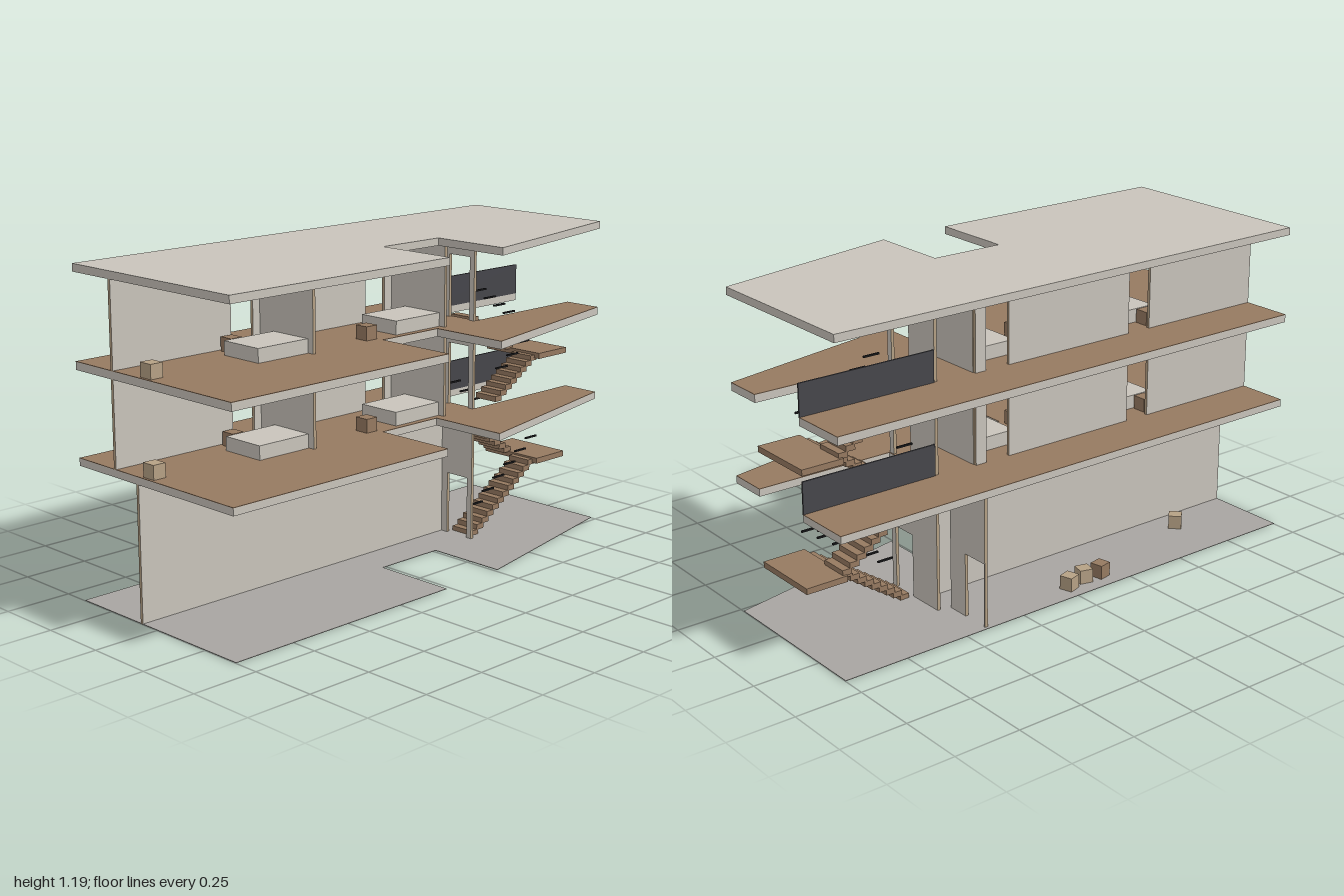
import * as THREE from 'three';

const mat = (name, color) => {
  const m = new THREE.MeshStandardMaterial({ color });
  m.name = name;
  return m;
};

export function createModel() {
  const plaster = mat('plaster', 0xc9c4bb);
  const wood = mat('brown wood', 0x967a61);
  const tan = mat('tan edge', 0xb6a185);
  const groundGrey = mat('ground grey', 0xa8a5a1);
  const railDark = mat('dark railing', 0x46464b);
  const black = mat('handrail black', 0x1c1c1e);
  const steel = mat('grey', 0x85858a);
  const house = new THREE.Group();
  house.name = 'house';

  const add = (name, geo, material, parent = house) => {
    const m = new THREE.Mesh(geo, material);
    m.name = name;
    parent.add(m);
    return m;
  };
  // box given by its limits on each axis
  const box = (name, [x0, x1], [y0, y1], [z0, z1], material, parent) => {
    const m = add(name, new THREE.BoxGeometry(x1 - x0, y1 - y0, z1 - z0), material, parent);
    m.position.set((x0 + x1) / 2, (y0 + y1) / 2, (z0 + z1) / 2);
    return m;
  };
  // plan outline in x and z
  const plan = (pts) => new THREE.Shape(pts.map(([x, z]) => new THREE.Vector2(x, -z)));

  const front = [[-0.4, 1], [0.405, 1], [0.4, 0.02], [0.08, 0.02], [0.08, -0.26], [0.39, -0.26], [0.23, -1]];
  const fullPlan = plan([...front, [-0.41, -1]]);
  const stairwellPlan = plan([...front, [0.08, -1], [0.08, -0.47], [-0.19, -0.47], [-0.19, -1], [-0.41, -1]]);

  const slab = (name, shape, y0, y1, material) => {
    const g = new THREE.ExtrudeGeometry(shape, { depth: y1 - y0, bevelEnabled: false });
    g.rotateX(-Math.PI / 2).translate(0, y0, 0);
    return add(name, g, material);
  };

  // wall panel with doorways; faces plaster, edges tan
  const T = 0.012, DOOR = 0.24;
  const wall = (name, axis, at, [a, b], [y0, y1], doors = []) => {
    const pts = [[a, y0]];
    for (const [d0, d1] of doors) pts.push([d0, y0], [d0, y0 + DOOR], [d1, y0 + DOOR], [d1, y0]);
    pts.push([b, y0], [b, y1], [a, y1]);
    const g = new THREE.ExtrudeGeometry(new THREE.Shape(pts.map((p) => new THREE.Vector2(...p))),
      { depth: T, bevelEnabled: false });
    g.translate(0, 0, -T / 2);
    if (axis === 'z') g.rotateY(-Math.PI / 2);
    const m = add(name, g, [plaster, tan]);
    m.position[axis === 'z' ? 'x' : 'z'] = at;
  };

  // ground, floors and roof
  slab('ground', fullPlan, 0, 0.002, groundGrey);
  const levels = [[0.487, 0.513], [0.822, 0.85]];
  for (const [y0, y1] of levels) {
    slab('floorSlab', stairwellPlan, y0, y1, plaster);
    slab('floorFinish', stairwellPlan, y1, y1 + 0.002, wood);
  }
  slab('roof', fullPlan, 1.157, 1.185, plaster);

  // ground storey walls
  const stairDoor = [[-0.045, 0.057]];
  wall('groundLongWall', 'z', -0.08, [-0.455, 1], [0, 0.487]);
  wall('groundStairWall', 'x', -0.461, [-0.19, 0.08], [0, 0.487], stairDoor);
  wall('groundEntranceWall', 'x', -0.41, [-0.395, -0.2], [0, 0.487], [[-0.39, -0.285]]);

  // upper storeys: walls, railing and furniture
  [[0.513, 0.822], [0.85, 1.157]].forEach(([y0, y1]) => {
    const h = [y0, y1];
    wall('corridorWall', 'z', -0.2, [-0.305, 1], h, [[-0.26, -0.16], [0.39, 0.49]]);
    wall('roomWall', 'x', 0.352, [-0.194, 0.08], h);
    wall('roomWall', 'x', -0.302, [-0.194, 0.08], h);
    wall('stairWall', 'x', -0.461, [-0.19, 0.08], h, stairDoor);
    box('stairwellRailing', [-0.194, -0.188], [y0, y0 + 0.117], [-1, -0.47], railDark);

    const low = [y0, y0 + 0.053];
    box('frontBed', [-0.12, 0.056], low, [0.36, 0.585], plaster);
    box('backBed', [-0.12, 0.056], low, [-0.294, -0.07], plaster);
    box('frontStool', [-0.06, -0.005], low, [0.94, 0.99], tan);
    box('bedsideBox', [-0.18, -0.125], low, [0.5, 0.55], wood);
    box('roomStool', [0, 0.055], low, [0.025, 0.077], wood);
    box('roomBox', [-0.15, -0.095], low, [0.285, 0.34], tan);
    box('roomBox', [-0.16, -0.11], low, [0.245, 0.285], steel);
    box('roomBox', [-0.15, -0.1], low, [0.212, 0.245], railDark);
  });

  // loose boxes on the ground
  [[-0.18, 0.68, 0.785, tan], [-0.34, 0.01, 0.3, tan], [-0.33, 0.165, 0.2, wood], [-0.325, 0.09, -0.25, tan]]
    .forEach(([x, z, turn, material]) => {
      const m = add('crate', new THREE.BoxGeometry(0.05, 0.053, 0.05), material);
      m.position.set(x, 0.0275, z);
      m.rotation.y = turn;
    });

  // flight of steps from (z0, y0) to (z1, y1), with a broken handrail above it
  const flight = (x, y0, y1, z0, z1, steps, railX, railFrom, railTo, bars) => {
    const g = new THREE.Group();
    g.name = 'stairFlight';
    house.add(g);
    const run = (z1 - z0) / steps, rise = (y1 - y0) / steps;
    for (let i = 0; i < steps; i++) {
      const z = z0 + run * (i + 0.5), y = y0 + rise * (i + 1), d = Math.abs(run) / 2 + 0.004;
      box('step', x, [y - 0.021, y], [z - d, z + d], wood, g);
    }
    for (let i = 0; i < bars; i++) {
      const t = i / (bars - 1);
      const z = THREE.MathUtils.lerp(railFrom[0], railTo[0], t);
      const y = THREE.MathUtils.lerp(railFrom[1], railTo[1], t);
      box('handrailBar', [railX - 0.004, railX + 0.004], [y - 0.003, y + 0.003], [z - 0.032, z + 0.032], black, g);
    }
  };
  const rightX = [-0.044, 0.056], leftX = [-0.18, -0.07];
  flight(rightX, 0, 0.24, -0.49, -0.845, 12, 0.05, [-0.52, 0.125], [-0.83, 0.33], 6);
  flight(leftX, 0.245, 0.487, -0.845, -0.49, 12, -0.055, [-0.83, 0.37], [-0.5, 0.59], 6);
  flight(rightX, 0.513, 0.66, -0.615, -0.845, 8, 0.05, [-0.65, 0.64], [-0.835, 0.764], 4);
  flight(leftX, 0.667, 0.822, -0.845, -0.615, 8, -0.03, [-0.835, 0.79], [-0.61, 0.935], 5);
  for (const y of [0.247, 0.67]) box('stairLanding', [-0.19, 0.08], [y - 0.022, y], [-0.998, -0.835], wood);

  return house;
}
